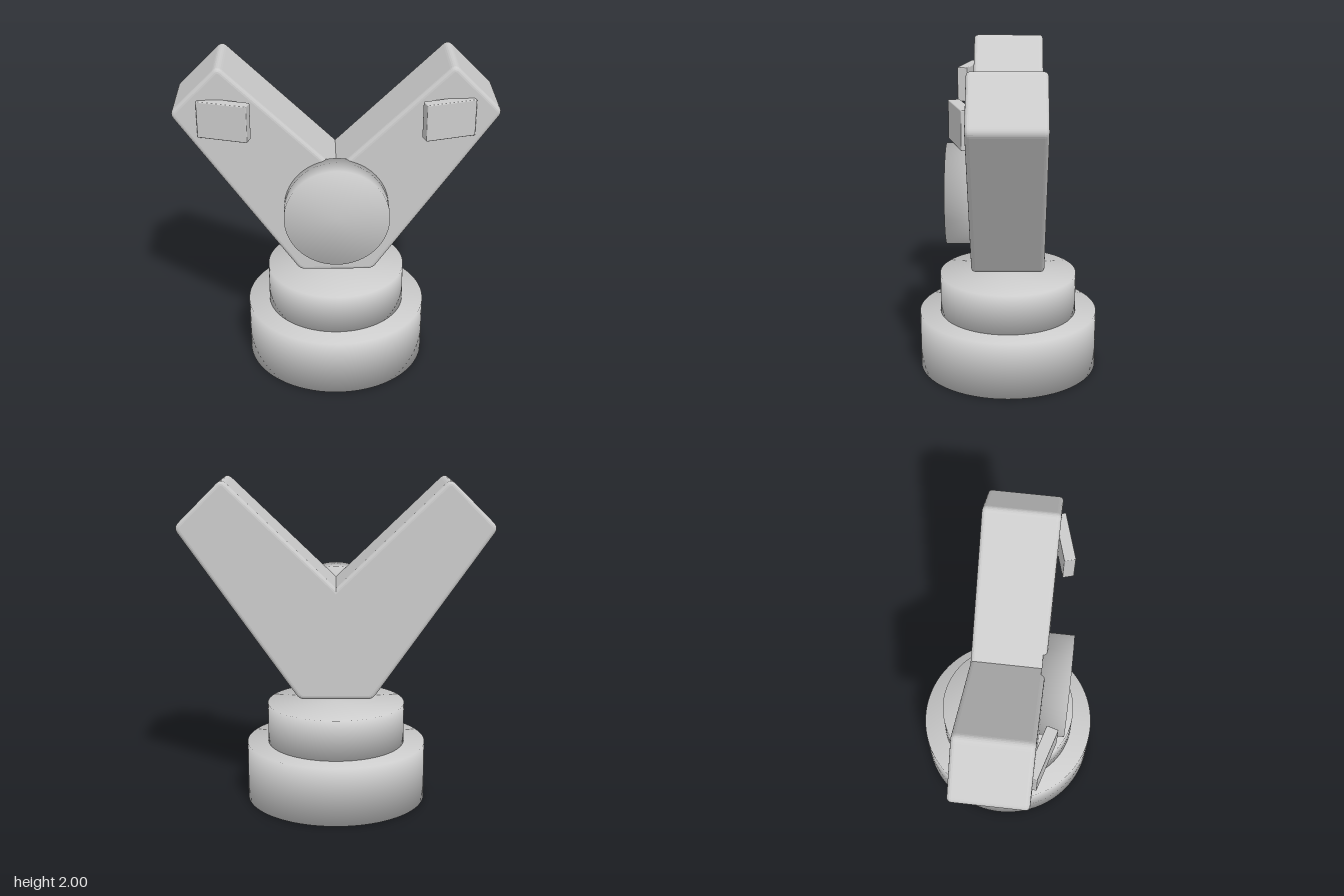
import * as THREE from 'three';
import { RoundedBoxGeometry } from 'three/addons/geometries/RoundedBoxGeometry.js';

const material = new THREE.MeshStandardMaterial({ color: 0xcccccc });

function part(name, geometry, parent) {
  const mesh = new THREE.Mesh(geometry, material);
  mesh.name = name;
  parent.add(mesh);
  return mesh;
}

// Solid drum whose normals blend softly across its rims
function softDrum(radius, y0, y1) {
  const profile = [[0, y0], [radius, y0], [radius, y1], [0, y1]];
  return new THREE.LatheGeometry(profile.map(([x, y]) => new THREE.Vector2(x, y)), 96);
}

// Closed outline with each corner rounded by cutting back a given distance
function roundedOutline(corners) {
  const shape = new THREE.Shape();
  const n = corners.length;
  corners.forEach(([x, y, cut], i) => {
    const p = new THREE.Vector2(x, y);
    const towards = ([qx, qy]) =>
      new THREE.Vector2(qx, qy).sub(p).setLength(cut).add(p);
    const a = towards(corners[(i + n - 1) % n]);
    const b = towards(corners[(i + 1) % n]);
    if (i === 0) shape.moveTo(a.x, a.y);
    else shape.lineTo(a.x, a.y);
    if (cut > 0) shape.quadraticCurveTo(x, y, b.x, b.y);
  });
  shape.closePath();
  return shape;
}

export function createModel() {
  const model = new THREE.Group();
  model.name = 'model';

  // Stepped round base
  part('base', softDrum(0.557, 0, 0.36), model);
  part('collar', softDrum(0.426, 0.34, 0.61), model);

  // V-shaped body with softened edges, hovering above the collar
  const half = [[0.222, 0.68, 0.035], [0.957, 1.727, 0.04], [0.67, 2.013, 0.04]];
  const mirrored = half.map(([x, y, cut]) => [-x, y, cut]).reverse();
  const outline = roundedOutline([...half, [0, 1.367, 0], ...mirrored]);
  const bevel = 0.025;
  const depth = 0.446;
  const body = new THREE.ExtrudeGeometry(outline, {
    depth: depth - 2 * bevel,
    bevelThickness: bevel,
    bevelSize: bevel,
    bevelOffset: -bevel,
    bevelSegments: 4,
    curveSegments: 6,
  });
  body.translate(0, 0, -depth / 2 + bevel);
  part('body', body, model);

  // Round boss on the front
  const boss = part('frontDisc', softDrum(0.311, 0.2, 0.375).rotateX(Math.PI / 2), model);
  boss.position.y = 1.122;

  // Angled pads near the arm tips
  for (const side of [1, -1]) {
    const pad = part(side > 0 ? 'leftPad' : 'rightPad',
      new RoundedBoxGeometry(0.302, 0.222, 0.068, 2, 0.006), model);
    pad.position.set(side * 0.645, 1.703, 0.255);
    pad.rotation.y = side * 0.285;
  }

  return model;
}
